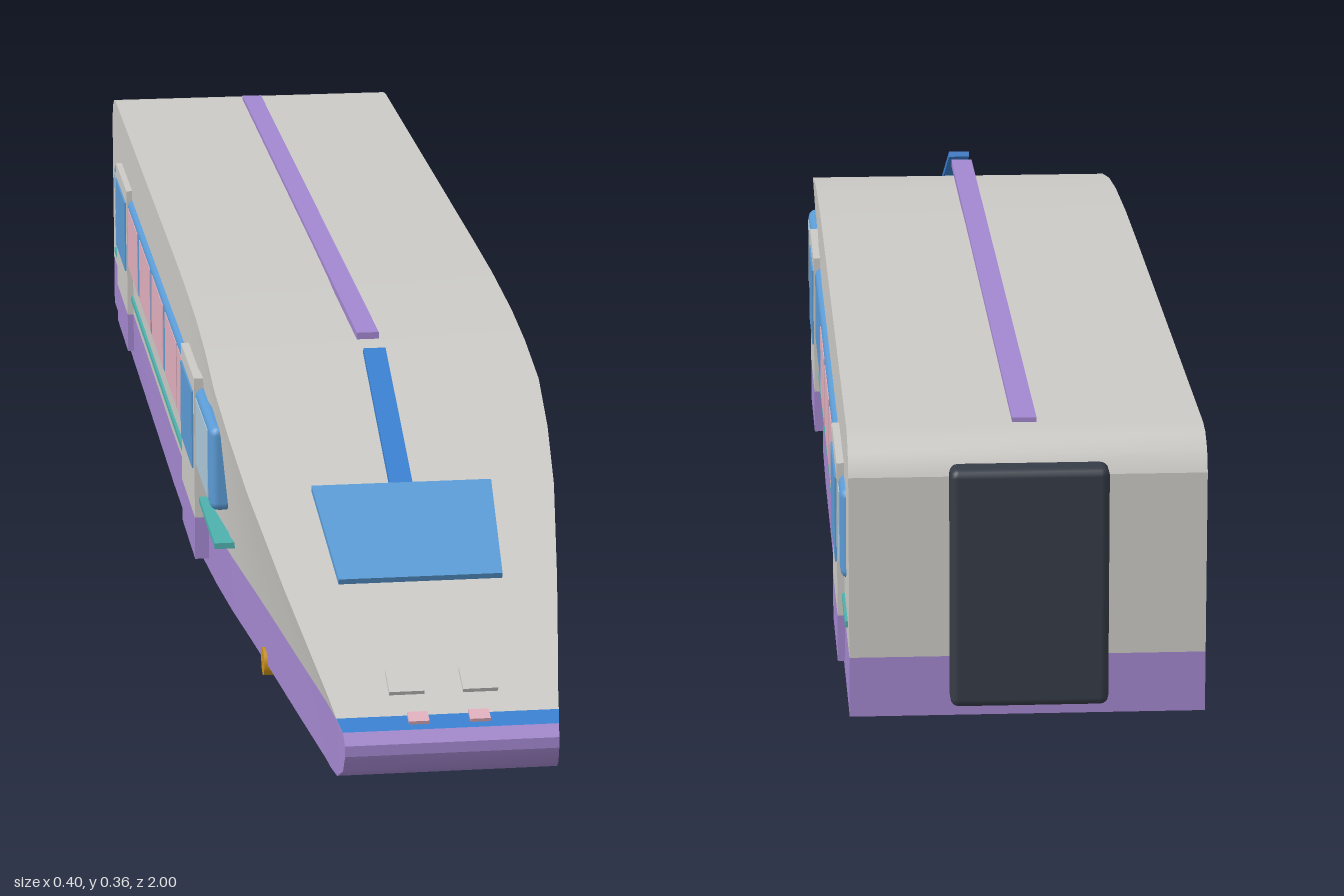
import * as THREE from 'three';
import { RoundedBoxGeometry } from 'three/addons/geometries/RoundedBoxGeometry.js';

const BELT = 0.116; // height where the purple skirt meets the grey shell

// Hull stations, nose to tail: [z, roofY, floorY, half width at roof, half width at floor]
const STATIONS = [
  [1, 0.1, 0.088, 0.115, 0.115], [0.99, 0.112, 0.068, 0.116, 0.116],
  [0.965, 0.119, 0.054, 0.12, 0.119], [0.93, 0.133, 0.05, 0.125, 0.121],
  [0.9, 0.145, 0.05, 0.13, 0.123], [0.76, 0.198, 0.05, 0.152, 0.136],
  [0.605, 0.257, 0.05, 0.174, 0.15], [0.5, 0.292, 0.05, 0.184, 0.16],
  [0.4, 0.32, 0.05, 0.19, 0.17], [0.3, 0.338, 0.05, 0.19, 0.178],
  [0.2, 0.348, 0.05, 0.19, 0.184], [0.05, 0.354, 0.05, 0.19, 0.189],
  [-0.1, 0.355, 0.05, 0.19, 0.19], [-0.91, 0.355, 0.05, 0.19, 0.19],
  [-0.935, 0.351, 0.05, 0.19, 0.19], [-0.955, 0.338, 0.05, 0.19, 0.19],
  [-0.965, 0.315, 0.05, 0.19, 0.19],
];

export function createModel() {
  const material = (name, color, side = THREE.FrontSide) =>
    Object.assign(new THREE.MeshStandardMaterial({ color, side }), { name });
  const grey = material('shell grey', 0xcbcac6);
  const purple = material('skirt purple', 0xa387cf);
  const glass = material('window blue', 0x5b9bd5);
  const blue = material('stripe blue', 0x3a80d0);
  const pink = material('pane pink', 0xe0afbd);
  const pale = material('pale glass', 0xacc8d8);
  const teal = material('line teal', 0x4fb0ad);
  const dark = material('running gear dark', 0x363c47);
  const amber = material('axle box amber', 0xc9921c);

  const train = new THREE.Group();
  train.name = 'trainCar';

  function add(name, geometry, mat, parent = train) {
    const mesh = new THREE.Mesh(geometry, mat);
    mesh.name = name;
    parent.add(mesh);
    return mesh;
  }

  function box(name, mat, x0, x1, y0, y1, z0, z1, parent) {
    const g = new THREE.BoxGeometry(Math.abs(x1 - x0), Math.abs(y1 - y0), Math.abs(z1 - z0));
    return add(name, g.translate((x0 + x1) / 2, (y0 + y1) / 2, (z0 + z1) / 2), mat, parent);
  }

  // Skin strip between two edge curves, each giving [x, y] at a station
  function strip(name, mat, edgeA, edgeB, from = 0, to = STATIONS.length - 1) {
    const pos = [], index = [];
    for (let i = from; i <= to; i++) {
      const s = STATIONS[i];
      pos.push(...edgeA(s), s[0], ...edgeB(s), s[0]);
      const k = (i - from) * 2;
      if (i < to) index.push(k, k + 1, k + 3, k, k + 3, k + 2);
    }
    const g = new THREE.BufferGeometry();
    g.setAttribute('position', new THREE.Float32BufferAttribute(pos, 3));
    g.setIndex(index);
    g.computeVertexNormals();
    return add(name, g, mat);
  }

  // Hull skin
  const roof = (k) => (s) => [k * s[3], s[1]];
  const belt = (k) => (s) => [k * s[4], Math.min(BELT, s[1])];
  const floor = (k) => (s) => [k * s[4], s[2]];
  strip('noseLip', purple, roof(-1), roof(1), 0, 1);
  strip('noseBand', blue, roof(-1), roof(1), 1, 2);
  strip('roof', grey, roof(-1), roof(1), 2);
  strip('leftWall', grey, roof(1), belt(1), 1);
  strip('rightWall', grey, belt(-1), roof(-1), 1);
  strip('leftSkirt', purple, belt(1), floor(1));
  strip('rightSkirt', purple, floor(-1), belt(-1));
  strip('floor', purple, floor(1), floor(-1));
  add('noseTip', new THREE.PlaneGeometry(0.23, 0.012).translate(0, 0.094, 1), purple);
  const rear = (y0, y1) => new THREE.PlaneGeometry(0.38, y1 - y0)
    .rotateY(Math.PI).translate(0, (y0 + y1) / 2, -0.965);
  add('rearWall', rear(BELT, 0.315), grey);
  add('rearSkirt', rear(0.05, BELT), purple);

  // Rear gangway and roof rib
  add('gangway', new RoundedBoxGeometry(0.168, 0.262, 0.036, 2, 0.009).translate(0, 0.2, -0.982), dark);
  box('roofRib', purple, -0.013, 0.013, 0.352, 0.36, -0.9, 0.32);

  // Plates lying on the sloping nose, from lower edge (y, z) upwards
  function slopePlate(name, mat, wLow, wHigh, length, x, y, z, angle, depth = 0.007) {
    const shape = new THREE.Shape([
      new THREE.Vector2(-wLow, 0), new THREE.Vector2(wLow, 0),
      new THREE.Vector2(wHigh, length), new THREE.Vector2(-wHigh, length),
    ]);
    const mesh = add(name, new THREE.ExtrudeGeometry(shape, { depth, bevelEnabled: false }), mat);
    mesh.rotation.x = angle - Math.PI / 2;
    mesh.position.set(x, y, z);
  }
  slopePlate('windshield', glass, 0.091, 0.102, 0.166, 0, 0.199, 0.758, 0.369);
  slopePlate('noseStripe', blue, 0.013, 0.013, 0.249, 0, 0.256, 0.605, 0.392);
  for (const s of [-1, 1]) {
    slopePlate('headlight', grey, 0.019, 0.019, 0.036, s * 0.04, 0.131, 0.934, 0.38, 0.005);
    slopePlate('markerLight', pink, 0.011, 0.011, 0.018, s * 0.033, 0.1145, 0.981, 0.26, 0.004);
  }

  // Side fittings
  const DOORS = [[0.245, 0.09], [-0.66, -0.82]];
  const PANES = [[0.085, 0.025], [0.015, -0.13], [-0.16, -0.31], [-0.335, -0.485], [-0.515, -0.655]];
  for (const s of [-1, 1]) {
    const side = new THREE.Group();
    side.name = s > 0 ? 'leftSide' : 'rightSide';
    train.add(side);
    add('windowBand', new RoundedBoxGeometry(0.028, 0.102, 1.29, 2, 0.01)
      .translate(s * 0.182, 0.226, -0.235), glass, side);
    PANES.forEach(([z0, z1], i) => {
      if (s > 0 && i < 2) return; // the foremost panes stay blue on the left
      box('windowPane', pink, s * 0.19, s * 0.197, 0.185, 0.267, z0, z1, side);
    });
    box('frontQuarterPane', pale, s * 0.19, s * 0.197, 0.185, 0.267, 0.385, 0.25, side);
    box('rearQuarterPane', pale, s * 0.19, s * 0.197, 0.185, 0.267, -0.822, -0.855, side);
    for (const [z0, z1] of DOORS) {
      box('door', grey, s * 0.165, s * 0.198, BELT, 0.289, z0, z1, side);
      box('doorSkirt', purple, s * 0.165, s * 0.198, 0.064, BELT, z0, z1, side);
      box('doorGlass', glass, s * 0.19, s * 0.2, 0.175, 0.27, z0 - 0.01, z1 + 0.01, side);
    }
    for (const [z0, z1] of [[0.425, 0.245], [0.09, -0.66], [-0.82, -0.92]]) {
      box('sideLine', teal, s * 0.165, s * 0.193, 0.135, 0.142, z0, z1, side);
    }
  }

  // Bogies: wheels with flanges, axles, axle boxes and side beams
  function drum(name, mat, radius, x0, x1, z, parent) {
    const g = new THREE.CylinderGeometry(radius, radius, Math.abs(x1 - x0), 28);
    return add(name, g.rotateZ(Math.PI / 2).translate((x0 + x1) / 2, 0.05, z), mat, parent);
  }
  for (const [za, zb] of [[0.58, 0.33], [-0.525, -0.785]]) {
    const bogie = new THREE.Group();
    bogie.name = za > 0 ? 'frontBogie' : 'rearBogie';
    train.add(bogie);
    for (const z of [za, zb]) {
      drum('axle', dark, 0.01, -0.11, 0.11, z, bogie);
      for (const s of [-1, 1]) {
        drum('wheel', dark, 0.045, s * 0.108, s * 0.128, z, bogie);
        drum('flange', dark, 0.05, s * 0.105, s * 0.11, z, bogie);
        drum('hub', dark, 0.02, s * 0.128, s * 0.138, z, bogie);
        drum('axleBox', amber, 0.016, s * 0.138, s * 0.155, z, bogie);
      }
    }
    for (const s of [-1, 1]) {
      box('sideBeam', dark, s * 0.128, s * 0.142, 0.043, 0.068, za - 0.03, zb + 0.03, bogie);
    }
  }
  return train;
}
